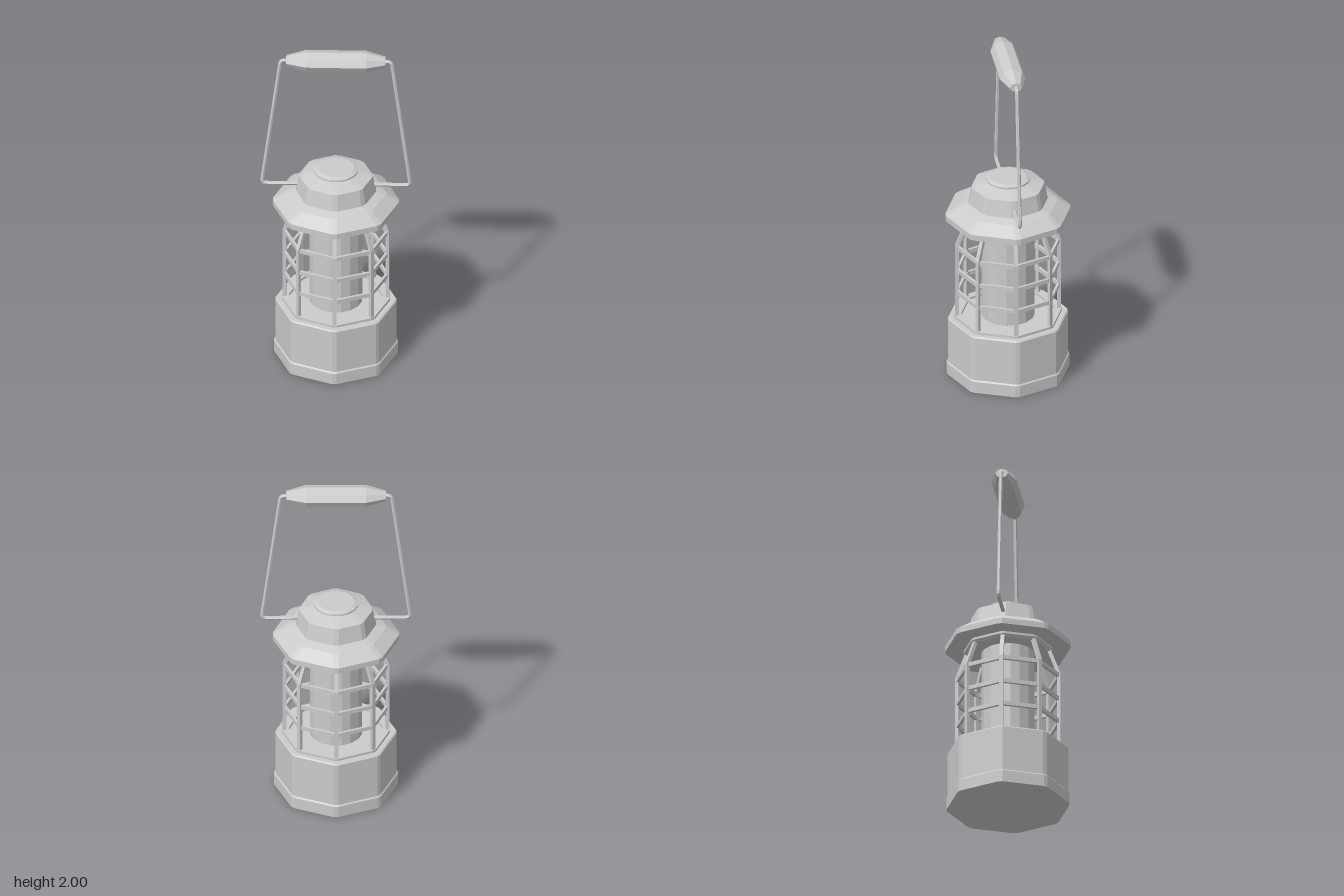
import * as THREE from 'three';

const grey = new THREE.MeshStandardMaterial({ color: 0xcccccc, flatShading: true });

// Octagonal solid with bevelled corners, lofted through [radius, y] rings from bottom to top
function octagonLoft(name, profile, bevel = 0.013) {
  const n = 16, pos = [], index = [];
  for (const [r, y] of profile) {
    const w = Math.min(bevel, r * 0.3);
    for (let k = 0; k < 8; k++) {
      const c = Math.cos(k * Math.PI / 4), s = Math.sin(k * Math.PI / 4);
      for (const side of [-w, w]) pos.push(r * c - side * s, y, r * s + side * c);
    }
  }
  for (let i = 0; i < profile.length - 1; i++) {
    for (let j = 0; j < n; j++) {
      const a = i * n + j, b = i * n + (j + 1) % n;
      if (profile[i][0] > 0) index.push(a, a + n, b);
      if (profile[i + 1][0] > 0) index.push(b, a + n, b + n);
    }
  }
  const indexed = new THREE.BufferGeometry();
  indexed.setAttribute('position', new THREE.Float32BufferAttribute(pos, 3));
  indexed.setIndex(index);
  const geo = indexed.toNonIndexed();
  geo.computeVertexNormals();
  return part(name, geo);
}

function part(name, geo) {
  const mesh = new THREE.Mesh(geo, grey);
  mesh.name = name;
  return mesh;
}

// Closed octagonal band of rectangular section
const band = (name, rIn, rOut, y0, y1, bevel) =>
  octagonLoft(name, [[rIn, y0], [rOut, y0], [rOut, y1], [rIn, y1], [rIn, y0]], bevel);

// Cage of bent upright bars and horizontal rings
function makeCage() {
  const cage = new THREE.Group();
  cage.name = 'cage';
  const outline = new THREE.Shape([
    [0.28, 0.34], [0.3, 0.34], [0.3, 0.81], [0.24, 0.97], [0.218, 0.97], [0.28, 0.805],
  ].map(([x, y]) => new THREE.Vector2(x, y)));
  const bar = new THREE.ExtrudeGeometry(outline, { depth: 0.022, bevelEnabled: false });
  bar.translate(0, 0, -0.011);
  for (let k = 0; k < 8; k++) {
    const upright = part('cageBar', bar);
    upright.rotation.y = k * Math.PI / 4;
    cage.add(upright);
  }
  for (const y of [0.515, 0.655, 0.8])
    cage.add(band('cageRing', 0.275, 0.291, y - 0.012, y + 0.012));
  cage.add(band('cageFoot', 0.265, 0.305, 0.345, 0.367));
  return cage;
}

// Wire bail with rounded bends and a faceted grip
function makeHandle() {
  const handle = new THREE.Group();
  handle.name = 'handle';
  const v = (x, y) => new THREE.Vector3(x, y, 0);
  for (const s of [-1, 1]) {
    const path = new THREE.CurvePath();
    path.add(new THREE.LineCurve3(v(s * 0.17, 1.12), v(s * 0.395, 1.12)));
    path.add(new THREE.QuadraticBezierCurve3(v(s * 0.395, 1.12), v(s * 0.418, 1.12), v(s * 0.415, 1.15)));
    path.add(new THREE.LineCurve3(v(s * 0.415, 1.15), v(s * 0.316, 1.92)));
    path.add(new THREE.QuadraticBezierCurve3(v(s * 0.316, 1.92), v(s * 0.313, 1.945), v(s * 0.29, 1.945)));
    path.add(new THREE.LineCurve3(v(s * 0.29, 1.945), v(s * 0.25, 1.945)));
    handle.add(part('handleWire', new THREE.TubeGeometry(path, 90, 0.011, 6, false)));
  }
  const profile = [[0, -0.28], [0.036, -0.28], [0.073, -0.17], [0.073, 0.17], [0.036, 0.28], [0, 0.28]];
  const grip = new THREE.LatheGeometry(profile.map(([r, y]) => new THREE.Vector2(r, y)), 8);
  grip.rotateZ(Math.PI / 2);
  grip.scale(1, 0.76, 1);
  grip.translate(0, 1.945, 0);
  handle.add(part('handleGrip', grip));
  return handle;
}

export function createModel() {
  const lantern = new THREE.Group();
  lantern.name = 'lantern';

  // Base with plinth and stepped top
  lantern.add(octagonLoft('plinth', [[0, 0], [0.348, 0], [0.348, 0.07], [0.341, 0.078], [0, 0.078]]));
  lantern.add(octagonLoft('baseBody', [[0, 0.07], [0.341, 0.07], [0.341, 0.345], [0.334, 0.352], [0, 0.352]]));

  // Lamp chimney and cage
  lantern.add(octagonLoft('chimney', [[0, 0.34], [0.147, 0.34], [0.147, 0.98], [0, 0.98]], 0.032));
  lantern.add(makeCage());

  // Collar, brimmed roof and cap
  lantern.add(octagonLoft('collar', [[0, 0.95], [0.235, 0.95], [0.25, 0.965], [0.25, 0.985], [0, 0.985]]));
  lantern.add(octagonLoft('roof', [
    [0, 0.978], [0.355, 0.978], [0.355, 1.012], [0.28, 1.062], [0.225, 1.08],
    [0.205, 1.178], [0.115, 1.203], [0, 1.203],
  ], 0.015));
  lantern.add(octagonLoft('cap', [
    [0, 1.195], [0.1, 1.195], [0.1, 1.21], [0.123, 1.212], [0.123, 1.222], [0.1, 1.231], [0, 1.231],
  ], 0.026));

  lantern.add(makeHandle());
  return lantern;
}
